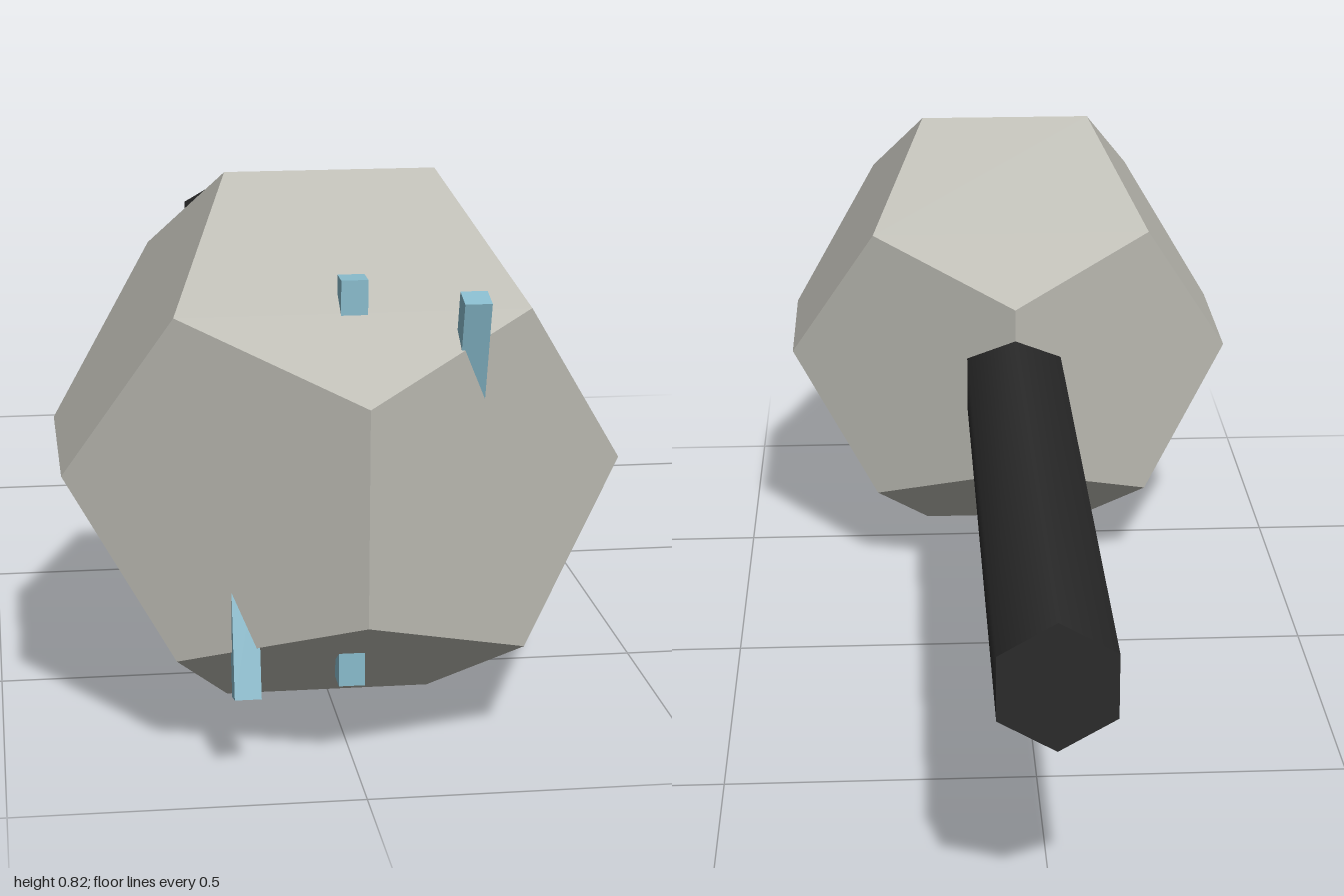
import * as THREE from 'three';

export function createModel() {
  const group = new THREE.Group();
  const material = (name, color, extra = {}) => {
    const m = new THREE.MeshStandardMaterial({ color, ...extra });
    m.name = name;
    return m;
  };
  const stone = material('pale stone grey', 0xbbbab2, { flatShading: true });
  const black = material('handle black', 0x2a2a2a);
  const blue = material('pale blue', 0x88bbcc);

  const add = (name, geometry, mat, x, y, z, tilt = 0) => {
    const mesh = new THREE.Mesh(geometry, mat);
    mesh.name = name;
    mesh.position.set(x, y, z);
    mesh.rotation.x = tilt;
    group.add(mesh);
  };

  const midY = 0.409;

  // Twelve-sided head
  add('head', new THREE.DodecahedronGeometry(0.437), stone, 0, midY, 0.592);

  // Six-sided handle, its front end buried in the head
  const front = 0.4, back = -1;
  add('handle', new THREE.CylinderGeometry(0.098, 0.098, front - back, 6), black,
    0, midY, (front + back) / 2, Math.PI / 2);

  // Small pegs, repeated above and below; the tilted pair sits on opposite sides
  const peg = new THREE.BoxGeometry(0.038, 0.1, 0.038);
  const spike = new THREE.BoxGeometry(0.038, 0.2, 0.038);
  for (const side of [1, -1]) {
    const level = side > 0 ? 'upper' : 'lower';
    add(level + 'Peg', peg, blue, 0, midY + side * 0.25, 0.829);
    add(level + 'Spike', spike, blue, side * 0.159, midY + side * 0.189, 0.885,
      side * THREE.MathUtils.degToRad(15));
  }
  return group;
}
